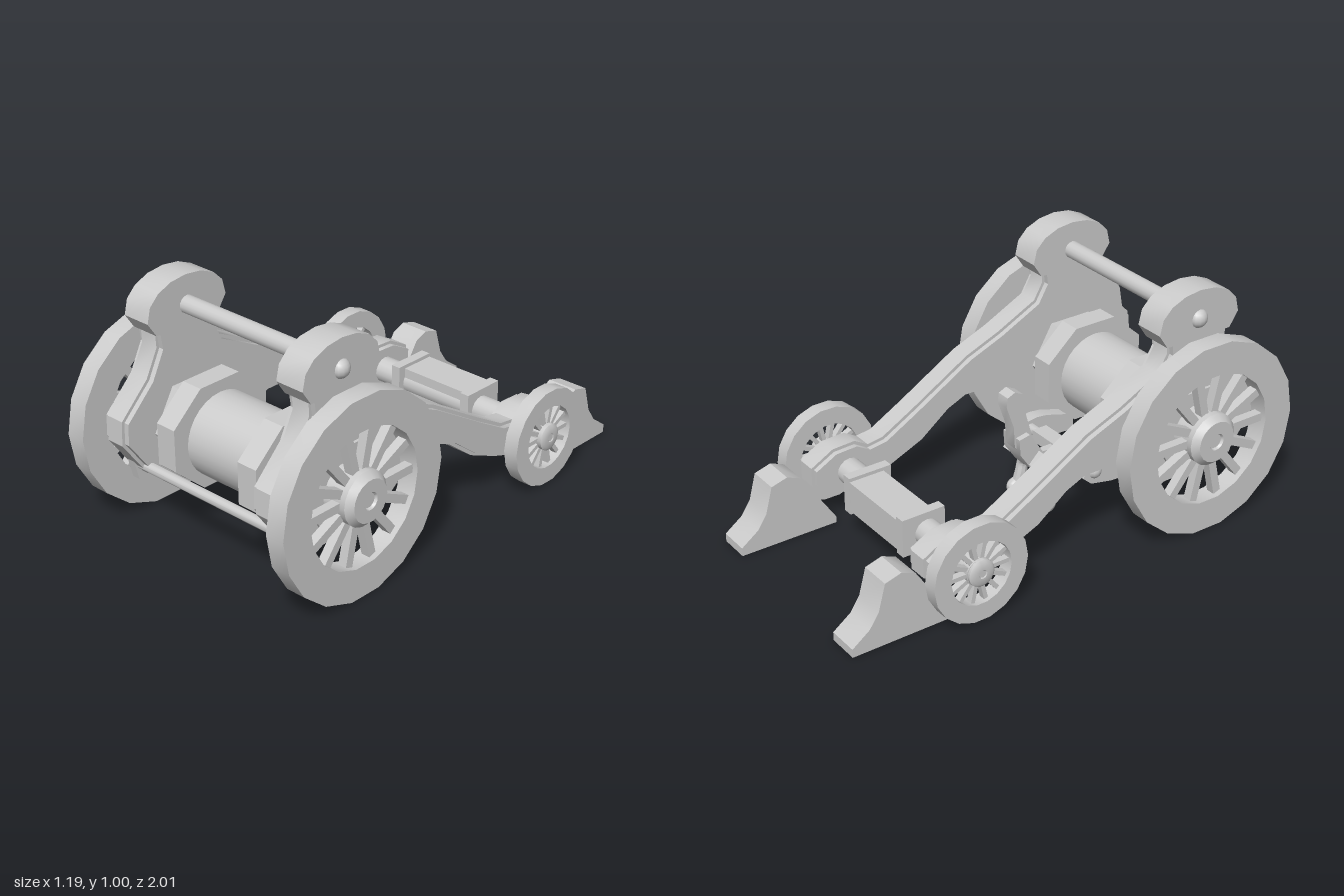
import * as THREE from 'three';
import { toCreasedNormals } from 'three/addons/utils/BufferGeometryUtils.js';

const material = new THREE.MeshStandardMaterial({ color: 0xcccccc });
const V = (x, y, z) => new THREE.Vector3(x, y, z);

export function createModel() {
  const root = new THREE.Group();

  function add(name, geometry, x = 0, y = 0, z = 0, parent = root) {
    const mesh = new THREE.Mesh(toCreasedNormals(geometry, 0.6), material);
    mesh.name = name;
    mesh.position.set(x, y, z);
    parent.add(mesh);
    return mesh;
  }
  const box = (name, w, h, d, x, y, z, parent) => add(name, new THREE.BoxGeometry(w, h, d), x, y, z, parent);

  // Solid of revolution about the x axis, profile given as [radius, x]
  function turned(profile, sides, turn = 0) {
    const pts = profile.map(([r, h]) => new THREE.Vector2(r, h));
    return new THREE.LatheGeometry(pts, sides).rotateY(turn).rotateZ(-Math.PI / 2);
  }
  const bar = (r, len, sides = 16, turn = 0) =>
    turned([[0, -len / 2], [r, -len / 2], [r, len / 2], [0, len / 2]], sides, turn);

  // Side profile in [z, y], extruded symmetrically across x
  function slab(points, width) {
    const shape = new THREE.Shape(points.map(([z, y]) => new THREE.Vector2(z, y)));
    return new THREE.ExtrudeGeometry(shape, { depth: width, bevelEnabled: false })
      .translate(0, 0, -width / 2).rotateY(-Math.PI / 2);
  }

  function wheel(name, side, x, y, z, R, inner, width, hubR, hubOut, spokes) {
    const g = new THREE.Group();
    g.name = name;
    g.position.set(x, y, z);
    g.rotation.y = side > 0 ? 0 : Math.PI;
    root.add(g);
    const h = width / 2;
    add('rim', turned([[inner, -h], [R, -h], [R, h], [inner, h], [inner, -h]], 18), 0, 0, 0, g);
    add('hub', turned([[0, -h - hubOut], [hubR, -h - hubOut], [hubR, h], [hubR * 0.78, h + hubOut],
      [hubR * 0.32, h + hubOut], [hubR * 0.27, h + hubOut * 0.6], [0, h + hubOut * 0.6]], 18), 0, 0, 0, g);
    const len = inner - hubR * 0.6 + 0.01;
    for (let i = 0; i < spokes; i++) {
      const a = ((i + 0.5) / spokes) * Math.PI * 2;
      const spoke = new THREE.BoxGeometry(width * 0.45, len, R * 0.085)
        .translate(0, hubR * 0.6 + len / 2, 0).rotateX(a);
      add('spoke', spoke, 0, 0, 0, g);
    }
  }

  // Cheek and trail profile, and a slightly slimmer one for the stepped edges
  const cheek = [[0.74, 0.84], [0.735, 0.74], [0.79, 0.63], [0.92, 0.5], [0.925, 0.4], [0.81, 0.24],
    [0.72, 0.2], [0.42, 0.195], [0.27, 0.31], [0.19, 0.36], [0.06, 0.36], [-0.02, 0.325], [-0.15, 0.225],
    [-0.3, 0.16], [-0.42, 0.12], [-0.58, 0.125], [-0.66, 0.18], [-0.66, 0.26], [-0.56, 0.315],
    [-0.46, 0.32], [-0.4, 0.285], [-0.33, 0.295], [-0.18, 0.38], [0.08, 0.535], [0.24, 0.6],
    [0.42, 0.69], [0.46, 0.76], [0.46, 0.84]];
  const inset = cheek.map(([z, y], i) => {
    const [az, ay] = cheek[(i + cheek.length - 1) % cheek.length];
    const [bz, by] = cheek[(i + 1) % cheek.length];
    const l = Math.hypot(bz - az, by - ay);
    return [z - ((by - ay) / l) * -0.014, y + ((bz - az) / l) * -0.014];
  });
  const cap = [[0.75, 0.8], [0.79, 0.86]];
  for (let i = 1; i < 8; i++) {
    const a = (i / 8) * Math.PI;
    cap.push([0.595 + 0.195 * Math.cos(a), 0.86 + 0.14 * Math.pow(Math.sin(a), 0.85)]);
  }
  cap.push([0.4, 0.86], [0.44, 0.8]);
  const foot = [[-0.575, 0], [-0.575, 0.025], [-0.725, 0.255], [-0.785, 0.28], [-0.855, 0.26],
    [-0.885, 0.15], [-0.925, 0.09], [-1, 0.035], [-1, 0]];

  for (const s of [1, -1]) {
    wheel('frontWheel', s, s * 0.528, 0.405, 0.595, 0.41, 0.278, 0.084, 0.11, 0.026, 14);
    wheel('rearWheel', s, s * 0.53 - 0.009, 0.21, -0.495, 0.207, 0.133, 0.062, 0.056, 0.008, 14);
    add('cheekCore', slab(cheek, 0.08), s * 0.395);
    add('cheekEdge', slab(inset, 0.125), s * 0.395);
    add('cheekCap', slab(cap, 0.127), s * 0.396);
    add('trailFoot', slab(foot, 0.132), s * 0.405 - 0.014);

    // Bands around the barrel and its hexagonal ends
    add('barrelBand', bar(0.232, 0.094, 8, Math.PI / 8).scale(1, 0.98, 1.1), s * 0.215 - 0.006, 0.405, 0.59);
    add('barrelEnd', bar(0.192, 0.21, 6), s * 0.365, 0.405, 0.59);
    add('hubSleeve', bar(0.11, 0.06, 18), s * 0.465, 0.405, 0.595);

    // Upper rod ends and lower rod tabs
    add('rodEnd', new THREE.SphereGeometry(0.04, 14, 10), s * 0.447, 0.88, 0.595);
    const tab = box('lowerRodTab', 0.036, 0.165, 0.06, s * 0.4 - 0.008, 0.292, 0.815);
    tab.rotation.x = 0.25;

    // Arms carrying the rear cross rod
    const arm = [[0.5, 0.21], [0.36, 0.25], [0.31, 0.255], [0.235, 0.245], [0.22, 0.2], [0.26, 0.165],
      [0.36, 0.145], [0.5, 0.14]];
    add('rodArm', slab(arm, 0.055), s * 0.215 - 0.006);
    add('crossRodKnob', new THREE.SphereGeometry(0.032, 12, 8).scale(0.8, 1, 1), s * 0.235 - 0.006, 0.215, 0.28);
  }

  // Barrel and the rods that tie the cheeks together
  add('barrel', bar(0.172, 0.4, 28), 0, 0.395, 0.59);
  add('upperRod', bar(0.036, 0.9), 0, 0.88, 0.595);
  add('lowerRod', bar(0.021, 0.81), -0.008, 0.27, 0.81);
  add('crossRod', bar(0.021, 0.48), -0.006, 0.215, 0.28);
  box('crossRodSleeve', 0.26, 0.05, 0.07, -0.006, 0.218, 0.28);

  // Rear axle with its square middle
  add('rearAxle', bar(0.055, 1.1), -0.009, 0.21, -0.5);
  box('axleBlock', 0.36, 0.13, 0.155, -0.0135, 0.215, -0.532);
  for (const x of [-0.2, 0.173]) box('axleCollar', 0.042, 0.16, 0.19, x, 0.215, -0.515);

  // Lever assembly: pivot block, handle and two-legged fork
  const lever = new THREE.Group();
  lever.name = 'lever';
  lever.position.x = -0.0125;
  root.add(lever);
  const pivot = box('pivot', 0.245, 0.068, 0.068, 0, 0.225, 0.135, lever);
  pivot.rotation.x = Math.PI / 4;
  const handle = [[0.17, 0.24], [0.13, 0.19], [0.08, 0.24], [0.035, 0.31], [0.03, 0.4], [-0.005, 0.5],
    [0, 0.54], [0.035, 0.555], [0.075, 0.535], [0.08, 0.47], [0.1, 0.4], [0.12, 0.33]];
  add('handle', slab(handle, 0.06), 0, 0, 0, lever);
  add('handleWeb', slab([[0.17, 0.24], [0.1, 0.2], [0.045, 0.28], [0.04, 0.35], [0.09, 0.36]], 0.11), 0, 0, 0, lever);
  box('link', 0.032, 0.04, 0.14, 0, 0.215, 0.21, lever);
  const arch = new THREE.CatmullRomCurve3([V(-0.095, 0.04, 0.135), V(-0.088, 0.1, 0.15), V(-0.082, 0.16, 0.16),
    V(-0.045, 0.19, 0.15), V(0.045, 0.19, 0.15), V(0.082, 0.16, 0.16), V(0.088, 0.1, 0.15), V(0.095, 0.04, 0.135)]);
  add('fork', new THREE.TubeGeometry(arch, 40, 0.025, 10), 0, 0, 0, lever);
  for (const s of [1, -1])
    add('forkFoot', new THREE.SphereGeometry(0.035, 14, 10).scale(0.95, 1.05, 1.4), s * 0.095, 0.042, 0.138, lever);

  return root;
}
